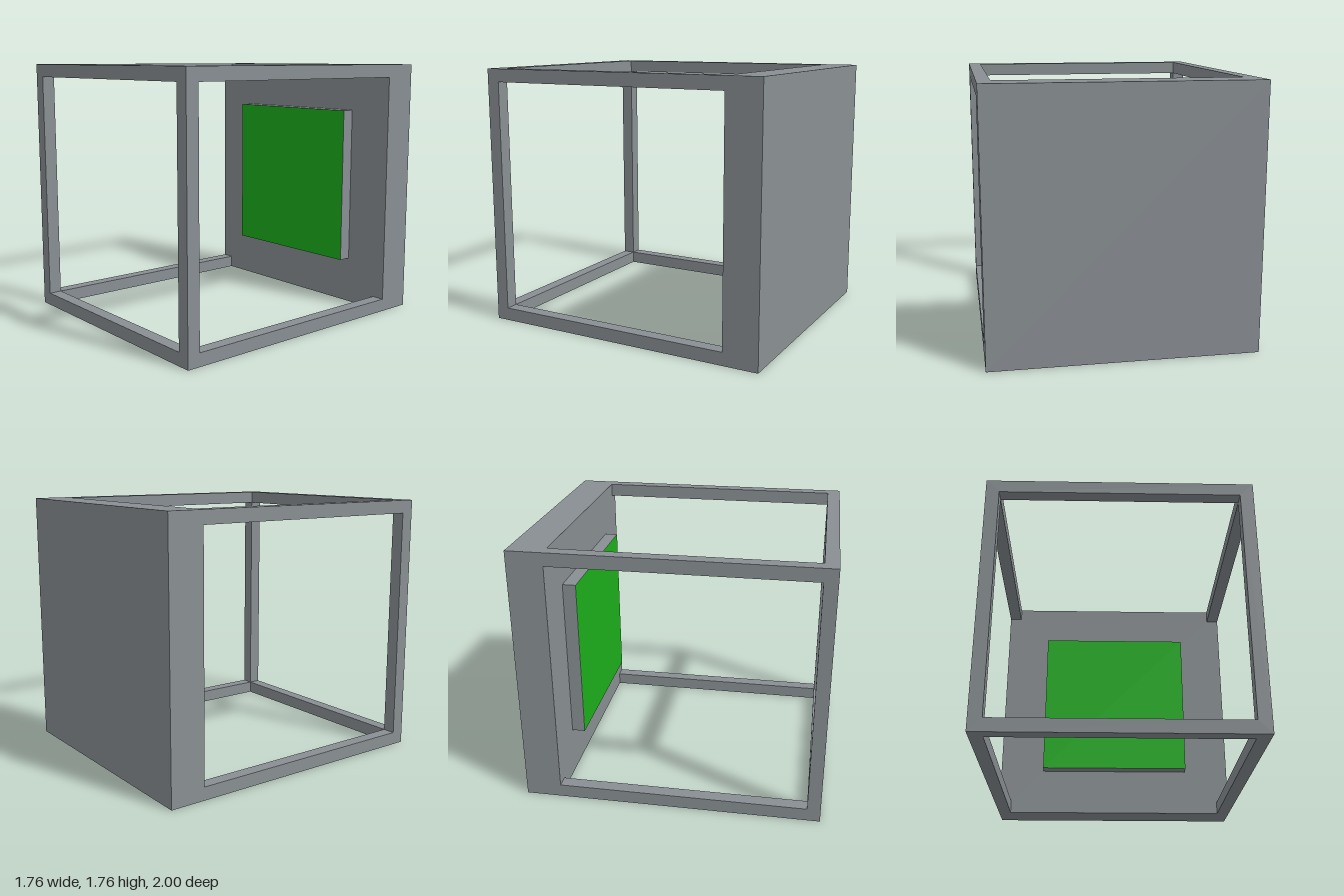
import * as THREE from 'three';

const W = 1.757, H = 1.757, BEAM = 0.088;
const FRONT = 1, BACK = -1, WALL = -0.76, PANEL = -0.67;

export function createModel() {
  const group = new THREE.Group();
  const slate = new THREE.MeshStandardMaterial({ color: 0x898f93 });
  const green = new THREE.MeshStandardMaterial({ color: 0x1cb01c });

  const add = (name, geometry, material, x, y, z) => {
    const mesh = new THREE.Mesh(geometry, material);
    mesh.name = name;
    mesh.position.set(x, y, z);
    group.add(mesh);
  };
  // Box spanning z0 to z1
  const box = (name, w, h, z0, z1, x, y) =>
    add(name, new THREE.BoxGeometry(w, h, z1 - z0), slate, x, y, (z0 + z1) / 2);

  // Solid back wall
  box('backWall', W, H, BACK, WALL, 0, H / 2);

  // Square front frame with an open middle
  const rect = (Type, w, h) => new Type([
    new THREE.Vector2(-w / 2, -h / 2), new THREE.Vector2(w / 2, -h / 2),
    new THREE.Vector2(w / 2, h / 2), new THREE.Vector2(-w / 2, h / 2),
  ]);
  const outline = rect(THREE.Shape, W, H);
  outline.holes.push(rect(THREE.Path, W - 2 * BEAM, H - 2 * BEAM));
  add('frontFrame', new THREE.ExtrudeGeometry(outline, { depth: BEAM, bevelEnabled: false }),
    slate, 0, H / 2, FRONT - BEAM);

  // Four corner rails joining the frame to the wall
  for (const [side, sx] of [['Left', 1], ['Right', -1]]) {
    for (const [level, y] of [['lower', BEAM / 2], ['upper', H - BEAM / 2]]) {
      box(`${level}${side}Rail`, BEAM, BEAM, WALL, FRONT - BEAM, sx * (W - BEAM) / 2, y);
    }
  }

  // Raised slab on the wall, with a green front face
  box('panelSlab', 1.1, 1.1, WALL, PANEL - 0.001, 0, H / 2);
  add('panelFace', new THREE.PlaneGeometry(1.1, 1.1), green, 0, H / 2, PANEL);

  return group;
}
